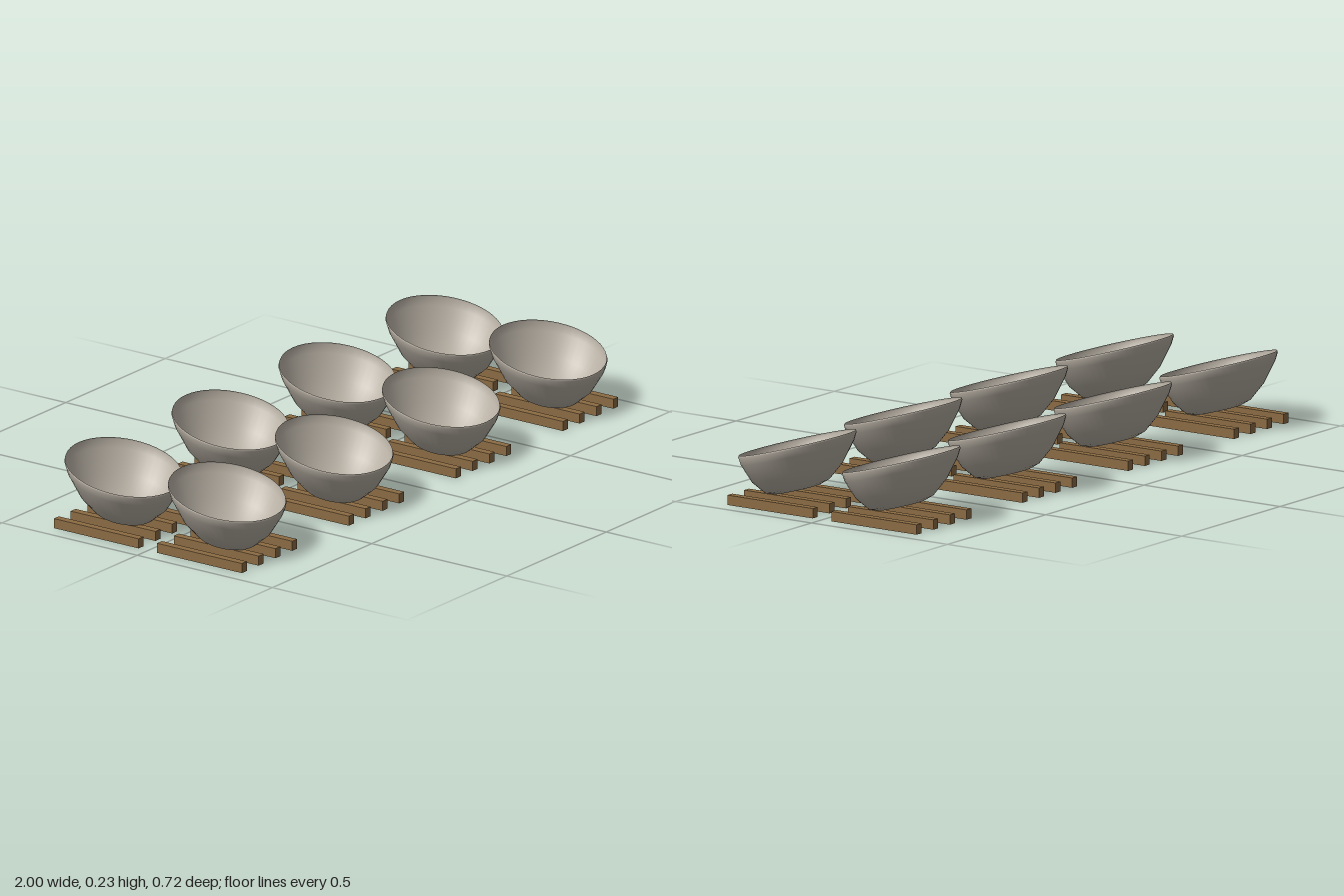
import * as THREE from 'three';

const stone = new THREE.MeshStandardMaterial({ color: 0xb8b0a4, side: THREE.DoubleSide });
stone.name = 'warm grey stone';
const wood = new THREE.MeshStandardMaterial({ color: 0x8b6b43 });
wood.name = 'brown wood';

// Thin open bowl: oval lathe with a drain hole, slanted so the back rim is higher
function bowlGeometry() {
  const profile = [
    [0.008, 0.043], [0.066, 0.044], [0.092, 0.054], [0.129, 0.095],
    [0.161, 0.156], [0.168, 0.18], [0.166, 0.186],
  ].map(([r, y]) => new THREE.Vector2(r, y));
  const geometry = new THREE.LatheGeometry(profile, 48);
  geometry.scale(0.1925 / 0.168, 1, 1);
  const slant = new THREE.Matrix4().set(
    1, 0, 0, 0,
    0, 1, -0.27, 0,
    0, 0, 1, 0,
    0, 0, 0, 1,
  );
  return geometry.applyMatrix4(slant);
}

export function createModel() {
  const model = new THREE.Group();
  model.name = 'slantedBowls';
  const bowlGeo = bowlGeometry();
  const slatGeo = new THREE.BoxGeometry(0.025, 0.03, 0.314);

  // Two rows of four bowls, each on its own four slats
  for (const z of [-0.191, 0.191]) {
    for (let col = 0; col < 4; col++) {
      const unit = new THREE.Group();
      unit.name = 'bowlOnSlats';
      unit.position.set((col - 1.5) * 0.5383, 0, z);

      const bowl = new THREE.Mesh(bowlGeo, stone);
      bowl.name = 'bowl';
      unit.add(bowl);

      for (let i = 0; i < 4; i++) {
        const slat = new THREE.Mesh(slatGeo, wood);
        slat.name = 'slat';
        slat.position.set((i - 1.5) * 0.0845, 0.015, 0);
        unit.add(slat);
      }
      model.add(unit);
    }
  }
  return model;
}
